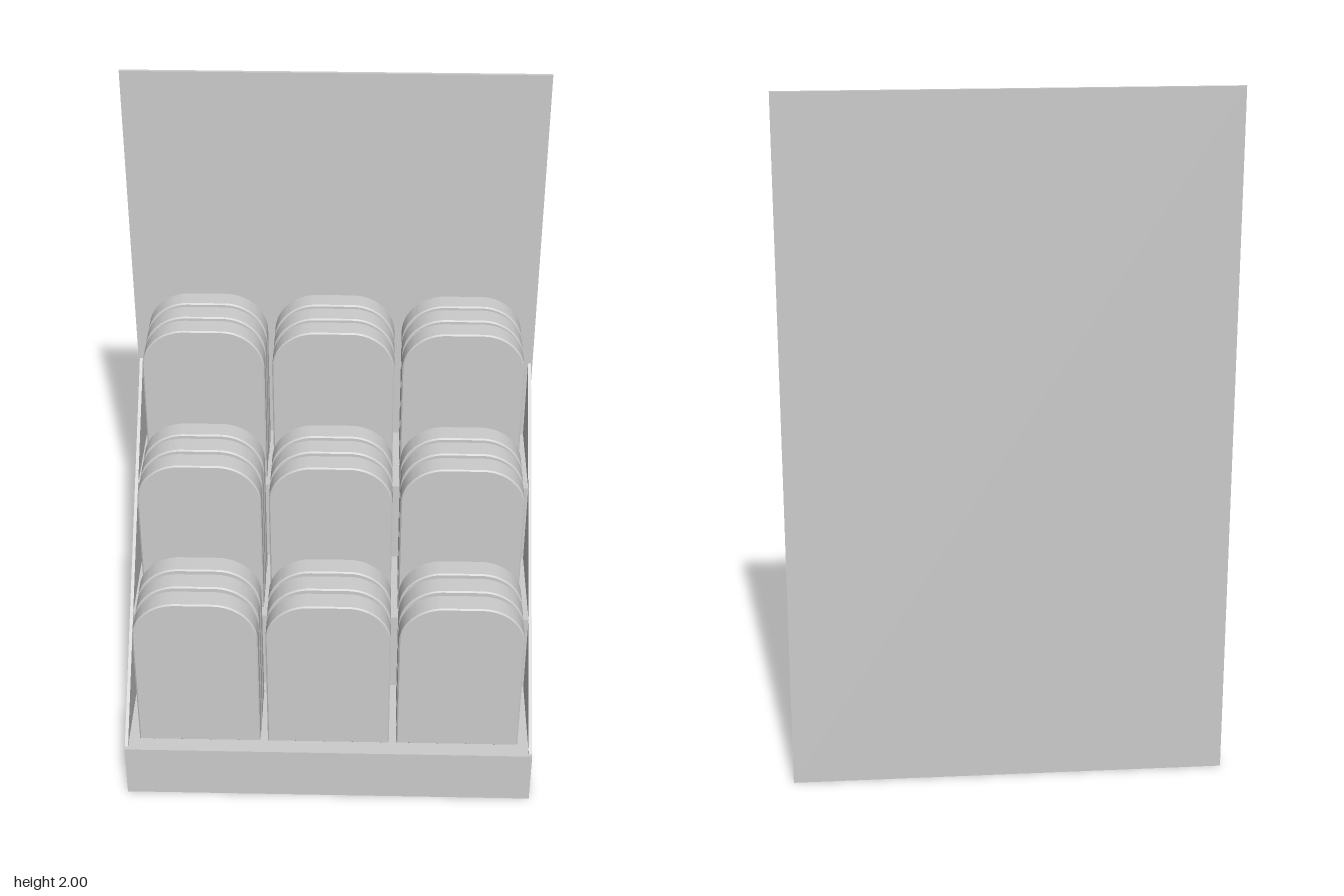
import * as THREE from 'three';
import { toCreasedNormals } from 'three/addons/utils/BufferGeometryUtils.js';

const material = new THREE.MeshStandardMaterial({ color: 0xcccccc });

function add(parent, name, geometry, x = 0, y = 0, z = 0) {
  const mesh = new THREE.Mesh(geometry, material);
  mesh.name = name;
  mesh.position.set(x, y, z);
  parent.add(mesh);
  return mesh;
}

// Extrudes a (z, y) profile along x, centred on x = 0
function extrudeSideways(points, width) {
  const shape = new THREE.Shape(points.map(([z, y]) => new THREE.Vector2(-z, y)));
  const geometry = new THREE.ExtrudeGeometry(shape, { depth: width, bevelEnabled: false });
  geometry.translate(0, 0, -width / 2);
  geometry.rotateY(Math.PI / 2);
  return geometry;
}

// Upright pack with two rounded top corners and finely softened edges
function packGeometry(width, height, depth, radius) {
  const bevel = 0.004;
  const w = width / 2 - bevel, top = height - bevel, r = radius - bevel;
  const shape = new THREE.Shape();
  shape.moveTo(-w, bevel);
  shape.lineTo(w, bevel);
  shape.lineTo(w, top - r);
  shape.absarc(w - r, top - r, r, 0, Math.PI / 2, false);
  shape.lineTo(-w + r, top);
  shape.absarc(-w + r, top - r, r, Math.PI / 2, Math.PI, false);
  shape.closePath();
  const geometry = new THREE.ExtrudeGeometry(shape, {
    depth: depth - 2 * bevel, bevelEnabled: true, bevelSize: bevel,
    bevelThickness: bevel, bevelSegments: 1, curveSegments: 12,
  });
  geometry.translate(0, 0, -depth / 2 + bevel);
  return toCreasedNormals(geometry, 0.5);
}

export function createModel() {
  const group = new THREE.Group();
  group.name = 'counterDisplay';

  const front = 0.457, back = -0.457;
  const tierY = [0.18, 0.46, 0.74];

  // Stepped base with three tiers
  add(group, 'steppedBase', extrudeSideways([
    [front, 0], [back + 0.005, 0], [back + 0.005, tierY[2]], [-0.153, tierY[2]],
    [-0.153, tierY[1]], [0.148, tierY[1]], [0.148, tierY[0]], [front, tierY[0]],
  ].reverse(), 1.225));

  // Sloping side panels
  const sideProfile = [
    [front, 0], [back + 0.005, 0], [back + 0.005, 1.015],
    [-0.447, 1.015], [0.445, 0.18], [front, 0.18],
  ].reverse();
  for (const side of [1, -1]) {
    add(group, side > 0 ? 'leftSidePanel' : 'rightSidePanel',
      extrudeSideways(sideProfile, 0.01), side * 0.616);
  }

  // Tall back board
  add(group, 'backBoard', new THREE.BoxGeometry(1.25, 2, 0.01), 0, 1, back + 0.005);

  // Three packs deep in each of three columns on each tier
  const pack = packGeometry(0.37, 0.54, 0.065, 0.13);
  tierY.forEach((y, tier) => {
    const row = new THREE.Group();
    row.name = `packRow${tier + 1}`;
    group.add(row);
    for (const column of [-1, 0, 1]) {
      for (const slot of [-1, 0, 1]) {
        add(row, 'pack', pack, column * 0.393, y, 0.298 - tier * 0.2995 + slot * 0.08);
      }
    }
  });

  return group;
}
